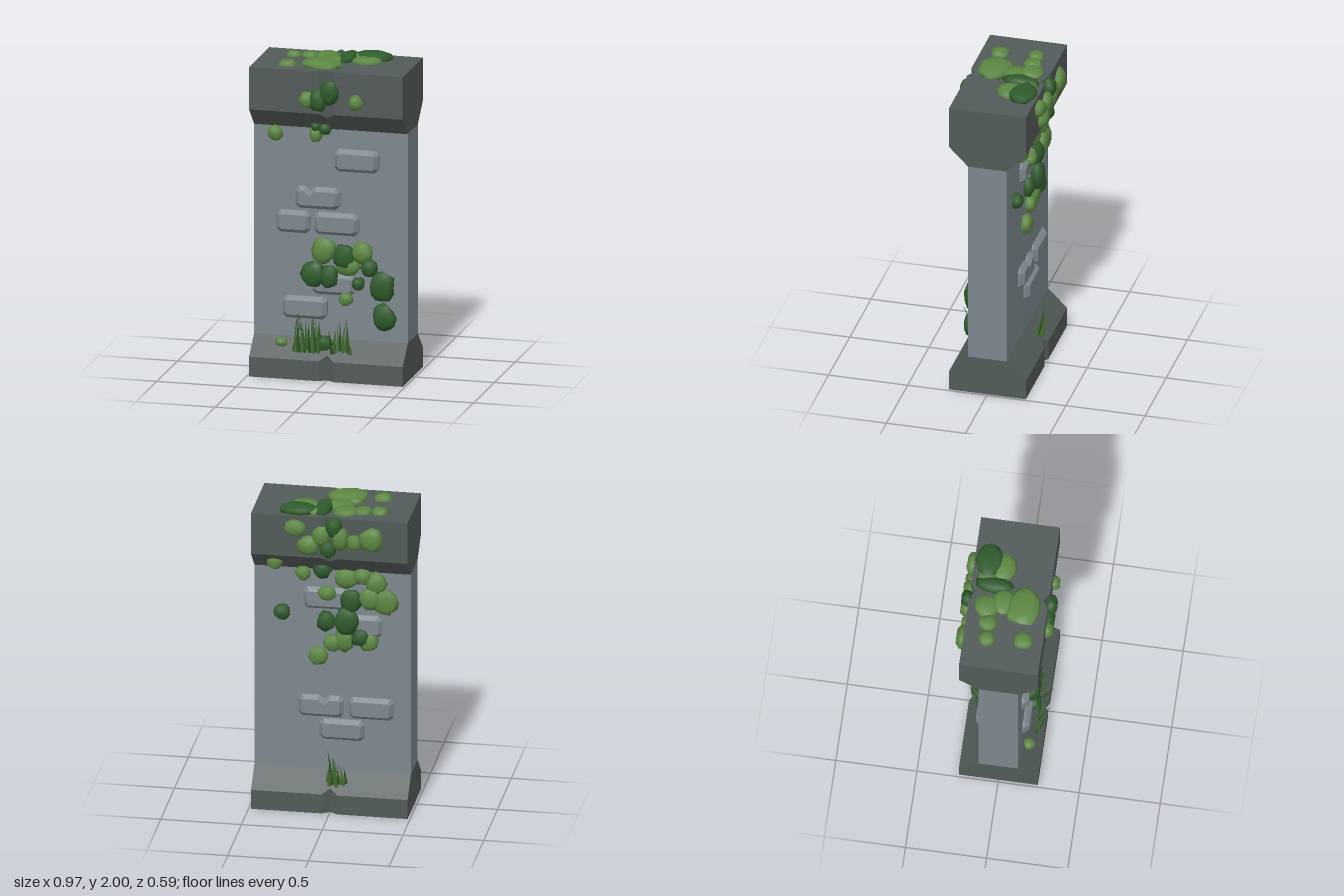
import * as THREE from 'three';
import { mergeVertices } from 'three/addons/utils/BufferGeometryUtils.js';

const mat = (name, color, opts = {}) => Object.assign(new THREE.MeshStandardMaterial({ color, ...opts }), { name });

// repeatable random numbers
function seeded(seed) {
  let s = seed;
  return () => ((s = (s * 16807) % 2147483647) / 2147483647);
}

const HALF = 0.485, DEEP = 0.243, THIN = 0.121, GROOVE = 0.032, GROOVE_W = 0.048;

// Tapered slab lofted along x, with a V groove at mid-length on both faces.
// Runs from yFlat (outer end of the upright part) via yEdge to yNeck (thin end).
function slabGeometry(yFlat, yEdge, yNeck, closeFlat) {
  const xs = [-HALF, -GROOVE_W, 0, GROOVE_W, HALF];
  const slope = (yNeck - yEdge) / (DEEP - THIN);
  const rings = xs.map((x) => {
    const cut = x === 0 ? GROOVE : 0, z = DEEP - cut, y = yEdge + slope * cut;
    return [[x, yFlat, z], [x, y, z], [x, yNeck, THIN], [x, yNeck, -THIN], [x, y, -z], [x, yFlat, -z]];
  });
  const pos = [], up = yNeck > yFlat;
  const tri = (a, b, c) => pos.push(...(up ? [...a, ...b, ...c] : [...a, ...c, ...b]));
  for (let i = 0; i < 4; i++) {
    for (let j = 0; j < (closeFlat ? 6 : 5); j++) {
      const a = rings[i][j], b = rings[i + 1][j], c = rings[i + 1][(j + 1) % 6], d = rings[i][(j + 1) % 6];
      tri(a, b, c);
      tri(a, c, d);
    }
  }
  for (let j = 1; j < 5; j++) {
    tri(rings[0][0], rings[0][j], rings[0][j + 1]);
    tri(rings[4][0], rings[4][j + 1], rings[4][j]);
  }
  const g = new THREE.BufferGeometry();
  g.setAttribute('position', new THREE.Float32BufferAttribute(pos, 3));
  g.computeVertexNormals();
  return g;
}

// Bevelled brick with clipped corners and an optional chip in its top edge
function brickGeometry(w, h, chipX) {
  const a = w / 2, b = h / 2, c = 0.025;
  const pts = [[-a + c, -b], [a - c, -b], [a, -b + c], [a, b - c], [a - c, b]];
  if (chipX !== undefined) pts.push([chipX + 0.03, b], [chipX, b - 0.025], [chipX - 0.03, b]);
  pts.push([-a + c, b], [-a, b - c], [-a, -b + c]);
  const shape = new THREE.Shape(pts.map((p) => new THREE.Vector2(...p)));
  return new THREE.ExtrudeGeometry(shape, {
    depth: 0.03, bevelEnabled: true, bevelSegments: 1, bevelSize: 0.024, bevelOffset: -0.024, bevelThickness: 0.028,
  });
}

// Lumpy rounded moss clump with a few broad facets
function mossGeometry(seed, rx, ry, rz) {
  const rand = seeded(seed * 7919 + 13);
  let g = new THREE.IcosahedronGeometry(1, 1);
  g.deleteAttribute('normal');
  g.deleteAttribute('uv');
  g = mergeVertices(g, 1e-3);
  const p = g.attributes.position;
  for (let i = 0; i < p.count; i++) {
    const k = 0.84 + rand() * 0.24;
    // flatten the dome toward its outside
    const z = Math.max(-0.8, Math.min(0.8, p.getZ(i))) / 0.8;
    p.setXYZ(i, p.getX(i) * k * rx, p.getY(i) * k * ry, z * (0.85 + rand() * 0.15) * rz);
  }
  g.computeVertexNormals();
  return g;
}

// Grass blade rising from the origin and curving by (leanX, leanZ) at its tip
function bladeGeometry(h, leanX, leanZ) {
  const g = new THREE.ConeGeometry(0.012, h, 4, 3, true);
  g.translate(0, h / 2, 0);
  const p = g.attributes.position;
  for (let i = 0; i < p.count; i++) {
    const t = p.getY(i) / h;
    p.setX(i, p.getX(i) + leanX * t * t);
    p.setZ(i, p.getZ(i) * 0.6 + leanZ * t);
  }
  g.computeVertexNormals();
  return g;
}

export function createModel() {
  const model = new THREE.Group();
  model.name = 'mossyWall';
  const wallStone = mat('wall stone', 0x7c878d, { flatShading: true });
  const darkStone = mat('dark stone', 0x525b59, { flatShading: true, side: THREE.DoubleSide });
  const lightMoss = mat('light moss', 0x5c8642);
  const darkMoss = mat('dark moss', 0x2f5a2c);
  const grassGreen = mat('grass green', 0x4a7534, { side: THREE.DoubleSide });
  const add = (name, geometry, material, parent = model) => {
    const m = new THREE.Mesh(geometry, material);
    m.name = name;
    parent.add(m);
    return m;
  };
  const group = (name) => {
    const g = new THREE.Group();
    g.name = name;
    model.add(g);
    return g;
  };

  // Wall, foot (open underneath) and capstone
  add('wall', new THREE.BoxGeometry(HALF * 2, 1.325, THIN * 2), wallStone).position.y = 0.905;
  add('base', slabGeometry(0, 0.125, 0.245, false), darkStone);
  add('capstone', slabGeometry(1.955, 1.687, 1.565, true), darkStone);

  // Raised bricks: x, y, width, height, chip
  const bricks = group('bricks');
  const frontBricks = [
    [0.165, 1.375, 0.28, 0.14], [-0.08, 1.128, 0.28, 0.138, -0.045], [-0.232, 0.97, 0.215, 0.14],
    [0.04, 0.97, 0.28, 0.14], [0.02, 0.59, 0.27, 0.135], [-0.16, 0.432, 0.28, 0.14],
  ];
  const backBricks = [
    [0.07, 0.665, 0.28, 0.14, 0.02], [-0.24, 0.665, 0.28, 0.14], [-0.06, 0.515, 0.28, 0.135],
    [0.04, 1.378, 0.28, 0.14], [-0.17, 1.21, 0.28, 0.14],
  ];
  for (const [x, y, w, h, chip] of frontBricks)
    add('frontBrick', brickGeometry(w, h, chip), wallStone, bricks).position.set(x, y, 0.105);
  for (const [x, y, w, h, chip] of backBricks) {
    const b = add('backBrick', brickGeometry(w, h, chip), wallStone, bricks);
    b.position.set(x, y, -0.098);
    b.rotation.y = Math.PI;
  }

  // Moss clumps: dark?, across, along, half width, half height
  let seed = 1;
  const moss = (name, list, place) => {
    const g = group(name);
    for (const [dark, u, v, ru, rv, out] of list) {
      const m = add('mossClump', mossGeometry(seed++, ru, rv, 0.04), dark ? darkMoss : lightMoss, g);
      place(m, u, v, out);
    }
  };
  const onFace = (side, z) => (m, x, y, out = z) => {
    m.position.set(x, y, side * out);
    if (side < 0) m.rotation.y = Math.PI;
  };
  moss('frontWallMoss', [
    [0, -0.04, 0.8, 0.08, 0.09], [0, 0.2, 0.8, 0.07, 0.075], [1, 0.09, 0.77, 0.075, 0.085, 0.15],
    [0, 0.11, 0.71, 0.08, 0.06], [1, -0.1, 0.65, 0.08, 0.085, 0.165], [1, 0, 0.64, 0.06, 0.08, 0.16],
    [1, 0.245, 0.705, 0.055, 0.06], [1, 0.18, 0.605, 0.042, 0.045, 0.15], [1, 0.33, 0.595, 0.082, 0.1],
    [1, 0.34, 0.4, 0.08, 0.09], [0, 0.105, 0.505, 0.047, 0.045, 0.15], [0, -0.3, 0.21, 0.04, 0.03, 0.16],
    [1, -0.03, 0.22, 0.055, 0.055, 0.16], [0, -0.345, 1.525, 0.05, 0.05], [0, -0.09, 1.53, 0.045, 0.055],
    [1, -0.085, 1.585, 0.035, 0.03, 0.15], [1, -0.03, 1.57, 0.042, 0.042],
  ], onFace(1, 0.14));
  moss('frontCapMoss', [
    [0, -0.12, 1.775, 0.053, 0.055], [1, -0.05, 1.775, 0.065, 0.075], [1, 0.025, 1.83, 0.065, 0.085, 0.255],
    [0, 0.19, 1.775, 0.048, 0.052],
  ], onFace(1, 0.248));
  moss('backWallMoss', [
    [0, 0.35, 1.62, 0.055, 0.055, 0.17], [0, 0.18, 1.54, 0.05, 0.05], [1, 0.06, 1.57, 0.06, 0.06],
    [0, -0.09, 1.52, 0.075, 0.065], [0, -0.19, 1.54, 0.06, 0.06], [0, -0.27, 1.5, 0.07, 0.075],
    [0, -0.33, 1.38, 0.085, 0.09], [0, -0.24, 1.4, 0.07, 0.08, 0.15], [1, -0.12, 1.38, 0.07, 0.08, 0.15],
    [0, 0.03, 1.42, 0.06, 0.05, 0.15], [1, 0.31, 1.275, 0.055, 0.055], [1, 0.04, 1.23, 0.06, 0.07],
    [1, -0.09, 1.25, 0.085, 0.095, 0.165], [0, -0.08, 1.12, 0.065, 0.085], [1, -0.175, 1.14, 0.06, 0.06, 0.15],
    [0, 0, 1.09, 0.06, 0.06], [0, -0.23, 1.11, 0.065, 0.065], [0, 0.09, 1.0, 0.065, 0.065],
  ], onFace(-1, 0.138));
  moss('backCapMoss', [
    [0, 0.21, 1.88, 0.075, 0.06], [0, 0.13, 1.77, 0.07, 0.065], [0, 0.05, 1.84, 0.06, 0.07],
    [1, -0.03, 1.9, 0.055, 0.07], [0, -0.07, 1.83, 0.055, 0.08], [1, 0.01, 1.755, 0.055, 0.06],
    [0, -0.26, 1.83, 0.08, 0.08], [0, -0.15, 1.8, 0.05, 0.06, 0.235],
  ], onFace(-1, 0.252));
  moss('topMoss', [
    [0, -0.29, -0.1, 0.052, 0.055], [0, -0.19, -0.11, 0.055, 0.065], [0, -0.085, -0.125, 0.085, 0.085],
    [0, -0.04, -0.035, 0.095, 0.075], [1, 0.055, -0.1, 0.055, 0.125, 1.966], [0, 0.1, -0.15, 0.07, 0.06],
    [0, 0.18, -0.065, 0.1, 0.085], [1, 0.205, -0.15, 0.125, 0.09, 1.966], [0, -0.105, 0.035, 0.06, 0.045],
    [0, -0.06, 0.1, 0.135, 0.11, 1.966], [0, -0.275, 0.125, 0.063, 0.06],
  ], (m, x, z, out = 1.953) => {
    m.position.set(x, out, z);
    m.rotation.x = -Math.PI / 2;
    m.scale.z = 0.8;
  });

  // Grass tufts on the foot: count, x range, side
  const rand = seeded(4242);
  const tuft = (name, count, x0, x1, side) => {
    const g = group(name);
    for (let i = 0; i < count; i++) {
      const h = 0.13 + rand() * 0.14;
      const blade = bladeGeometry(h, (rand() - 0.5) * 0.07, side * (rand() - 0.2) * 0.09);
      add('grassBlade', blade, i % 3 === 0 ? darkMoss : grassGreen, g)
        .position.set(x0 + ((x1 - x0) * (i + 0.5)) / count, 0.165, side * (0.175 + rand() * 0.035));
    }
  };
  tuft('frontLeftGrass', 16, -0.22, -0.04, 1);
  tuft('frontRightGrass', 8, 0.02, 0.15, 1);
  tuft('backGrass', 9, -0.1, 0.03, -1);
  return model;
}
